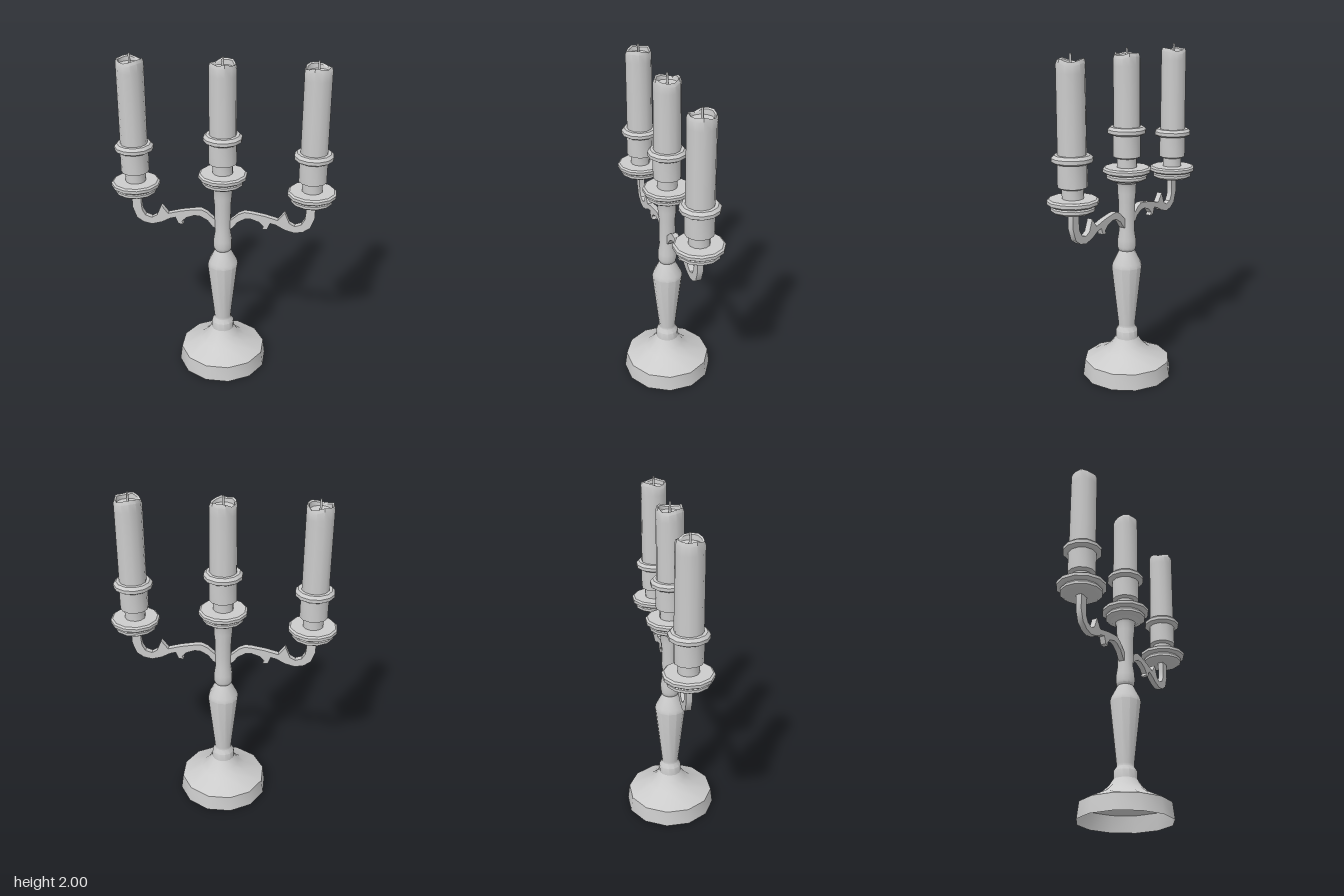
import * as THREE from 'three';
import { toCreasedNormals } from 'three/addons/utils/BufferGeometryUtils.js';

const SIDES = 12;
const metal = new THREE.MeshStandardMaterial({ color: 0xcccccc, side: THREE.DoubleSide });

function addMesh(parent, name, geometry) {
  const mesh = new THREE.Mesh(geometry, metal);
  mesh.name = name;
  parent.add(mesh);
  return mesh;
}

// Twelve-sided turning; radii are measured to the middle of the flats
function turned(profile, warp) {
  const k = 1 / Math.cos(Math.PI / SIDES);
  const points = profile.map(([r, y]) => new THREE.Vector2(r * k, y));
  const geometry = new THREE.LatheGeometry(points, SIDES, Math.PI / SIDES);
  if (warp) warp(geometry.attributes.position);
  return toCreasedNormals(geometry, 0.6);
}

// Drip plate, neck, socket and rim; y = 0 is the underside of the plate
function holder() {
  return turned([
    [0, 0], [0.1, 0], [0.118, 0.012], [0.118, 0.028], [0.108, 0.04],
    [0.125, 0.04], [0.139, 0.05], [0.139, 0.068], [0.128, 0.077],
    [0.058, 0.077], [0.058, 0.13], [0.08, 0.14], [0.08, 0.268],
    [0.095, 0.27], [0.11, 0.28], [0.11, 0.3], [0.095, 0.316], [0.07, 0.316],
  ]);
}

// Candle with an uneven melted lip around a sunken top
function candle(bottom, turn) {
  return turned([
    [0.077, bottom], [0.076, 1.9], [0.076, 1.955], [0.069, 1.975],
    [0.061, 1.968], [0.058, 1.94], [0, 1.935],
  ], (pos) => {
    for (let i = 0; i < pos.count; i++) {
      if (pos.getY(i) < 1.95) continue;
      const a = Math.atan2(pos.getZ(i), pos.getX(i)) + turn;
      const dip = Math.max(0, Math.sin(2 * a)) * 0.6 + Math.max(0, Math.sin(3 * a + 1)) * 0.4;
      pos.setY(i, pos.getY(i) - 0.024 * dip);
    }
  });
}

function candleUnit(name, x, plateY, turn) {
  const unit = new THREE.Group();
  unit.name = name;
  addMesh(unit, 'candleHolder', holder()).position.y = plateY;
  addMesh(unit, 'candle', candle(plateY + 0.29, turn));
  const wick = addMesh(unit, 'wick', new THREE.CylinderGeometry(0.006, 0.008, 0.07, 6));
  wick.position.y = 1.965;
  unit.position.x = x;
  return unit;
}

// Flat scrolling arm with one thorn above and one below
function arm(side) {
  const outline = [
    [0.035, 0.985], [0.035, 1.0], [0.065, 1.025], [0.095, 1.053], [0.13, 1.069],
    [0.17, 1.066], [0.25, 1.052], [0.33, 1.03], [0.37, 1.083], [0.398, 1.015],
    [0.43, 0.997], [0.468, 1.01], [0.488, 1.045], [0.492, 1.09], [0.488, 1.17],
    [0.546, 1.17], [0.546, 1.06], [0.522, 0.992], [0.48, 0.963], [0.43, 0.953],
    [0.37, 0.97], [0.32, 0.998], [0.285, 1.008], [0.268, 0.966], [0.238, 0.964],
    [0.246, 0.983], [0.22, 1.01], [0.17, 1.028], [0.135, 1.026], [0.09, 1.0],
    [0.06, 0.96], [0.035, 0.945],
  ];
  const shape = new THREE.Shape(outline.map(([x, y]) => new THREE.Vector2(side * x, y)));
  const geometry = new THREE.ExtrudeGeometry(shape, { depth: 0.034, bevelEnabled: false });
  geometry.translate(0, 0, -0.017);
  return toCreasedNormals(geometry, 0.7);
}

export function createModel() {
  const model = new THREE.Group();
  model.name = 'candelabrum';

  // Hollow foot, open underneath
  addMesh(model, 'foot', turned([
    [0.267, 0], [0.255, 0.098], [0.245, 0.103], [0.137, 0.155],
    [0.095, 0.195], [0.068, 0.237],
  ]));

  // Turned column
  addMesh(model, 'column', turned([
    [0.068, 0.235], [0.066, 0.285], [0.05, 0.31], [0.05, 0.325], [0.09, 0.7],
    [0.084, 0.725], [0.046, 0.803], [0.053, 0.815], [0.055, 0.83], [0.055, 0.87],
    [0.046, 0.93], [0.048, 1.0], [0.048, 1.1], [0.054, 1.16], [0.054, 1.2],
    [0.06, 1.22], [0.1, 1.245],
  ]));

  // Centre candle
  model.add(candleUnit('centreCandle', 0, 1.237, 0.4));

  // Side arms and their candles
  for (const side of [1, -1]) {
    const label = side > 0 ? 'left' : 'right';
    addMesh(model, label + 'Arm', arm(side));
    model.add(candleUnit(label + 'Candle', side * 0.521, 1.155, side * 1.3));
  }
  return model;
}
